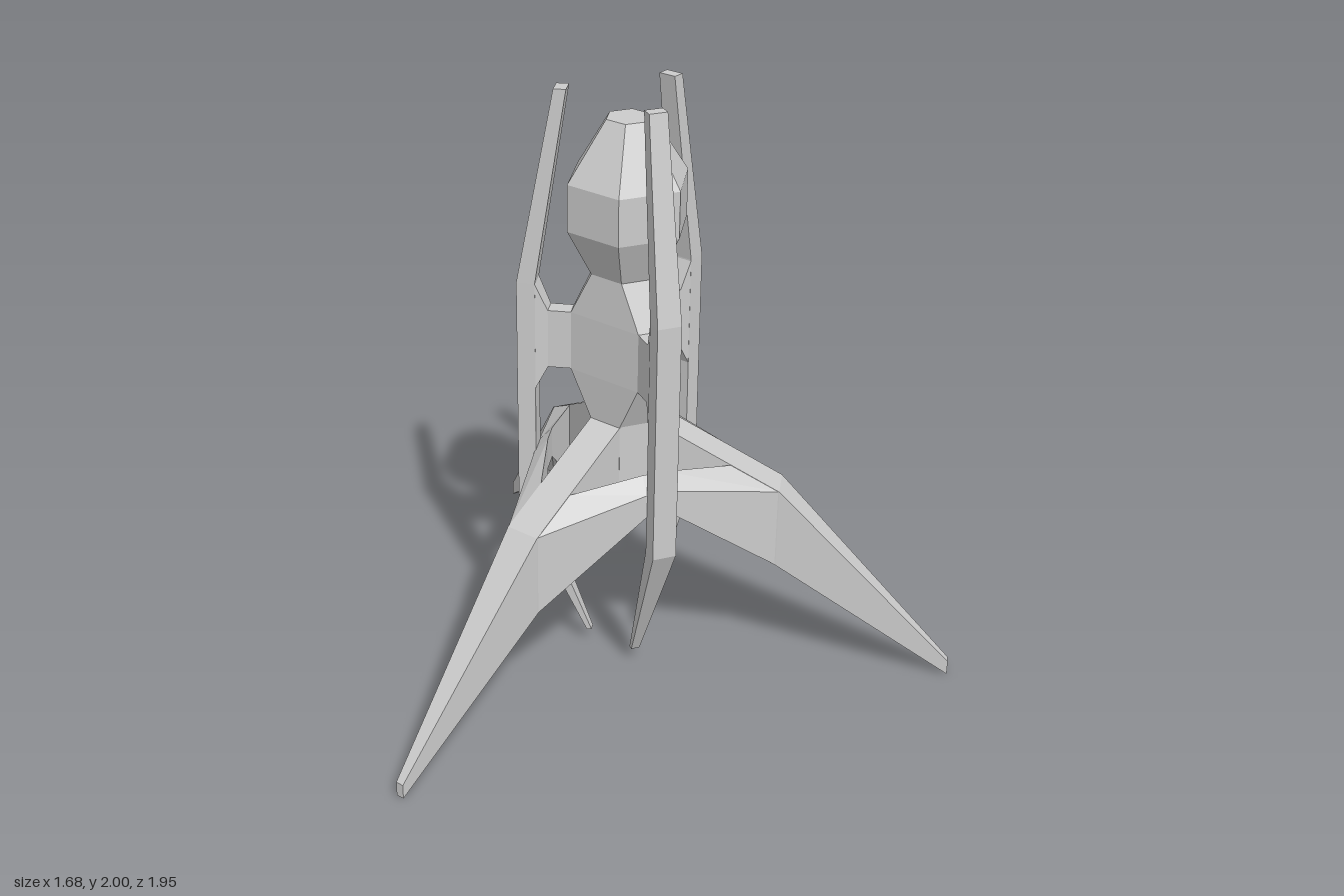
import * as THREE from 'three';

const grey = new THREE.MeshStandardMaterial({ color: 0xcccccc, flatShading: true });
const AXIS_X = 0.27;

// Closed solid from cross-sections (equal-length loops of [x, y, z]), wound outwards
function loft(name, rings) {
  const n = rings[0].length;
  const tris = [];
  for (let i = 0; i + 1 < rings.length; i++) {
    for (let j = 0; j < n; j++) {
      const k = (j + 1) % n;
      const a = rings[i][j], b = rings[i][k], c = rings[i + 1][k], d = rings[i + 1][j];
      tris.push([a, b, c], [a, c, d]);
    }
  }
  const first = rings[0], last = rings[rings.length - 1];
  for (let j = 1; j + 1 < n; j++) {
    tris.push([first[0], first[j + 1], first[j]], [last[0], last[j], last[j + 1]]);
  }
  // a negative volume means the faces point inwards
  const v = (p) => new THREE.Vector3(...p);
  const volume = tris.reduce((s, [a, b, c]) => s + v(a).dot(v(b).cross(v(c))), 0);
  if (volume < 0) tris.forEach((t) => t.reverse());
  const geo = new THREE.BufferGeometry();
  geo.setAttribute('position', new THREE.Float32BufferAttribute(tris.flat(2), 3));
  geo.computeVertexNormals();
  const mesh = new THREE.Mesh(geo, grey);
  mesh.name = name;
  return mesh;
}

// Upright section across a part that runs outwards
const upright = (r, top, bottom, w) => [[r, top, w], [r, top, -w], [r, bottom, -w], [r, bottom, w]];
// Level section across a part that runs upwards
const level = (y, r0, r1, w) => [[r0, y, w], [r1, y, w], [r1, y, -w], [r0, y, -w]];

// Six-sided ring: three faces at distance a with half-width w, joined by three others
function hexRing(y, a, w = a / Math.sqrt(3)) {
  const ring = [];
  for (let i = 0; i < 3; i++) {
    const t = (i * 2 * Math.PI) / 3, c = Math.cos(t), s = Math.sin(t);
    for (const k of [-w, w]) ring.push([a * c - k * s, y, a * s + k * c]);
  }
  return ring;
}

function makeLeg() {
  return loft('leg', [
    upright(0.1, 0.905, 0.62, 0.06),
    upright(0.52, 0.68, 0.4, 0.06),
    upright(1.115, 0.05, 0, 0.014),
  ]);
}

// Brace joining the sides of two neighbouring legs behind a fin
function makeBrace() {
  const c = Math.cos(Math.PI / 3), s = Math.sin(Math.PI / 3);
  const onLeg = (r, y, side) => [r * c + 0.058 * s, y, side * (r * s - 0.058 * c)];
  const legEnd = (side) => [
    onLeg(0.52, 0.68, side), onLeg(0.52, 0.4, side),
    onLeg(0.36, 0.485, side), onLeg(0.36, 0.765, side),
  ];
  const middle = (z) => [[0.295, 0.75, z], [0.295, 0.67, z], [0.25, 0.69, z], [0.25, 0.8, z]];
  return loft('brace', [legEnd(1), middle(0.04), middle(-0.04), legEnd(-1)]);
}

// Tall bent fin with its flared arm
function makeFin() {
  const fin = new THREE.Group();
  fin.name = 'fin';
  fin.add(loft('finBlade', [
    level(2, 0.19, 0.23, 0.03),
    level(1.355, 0.29, 0.35, 0.04),
    level(0.54, 0.29, 0.35, 0.04),
    level(0.05, 0.105, 0.122, 0.015),
  ]));
  fin.add(loft('finArm', [
    upright(0.16, 1.26, 1.06, 0.03),
    upright(0.25, 1.26, 1.06, 0.03),
    upright(0.292, 1.355, 0.98, 0.04),
  ]));
  return fin;
}

export function createModel() {
  const model = new THREE.Group();
  model.name = 'threeLeggedRocket';
  const hull = new THREE.Group();
  hull.name = 'hull';
  hull.position.x = AXIS_X;
  model.add(hull);

  // Faceted head, narrow neck, waisted body and hub
  hull.add(loft('head', [
    hexRing(1.915, 0.065),
    hexRing(1.72, 0.175),
    hexRing(1.565, 0.175),
    hexRing(1.41, 0.105),
  ]));
  hull.add(loft('body', [
    hexRing(1.41, 0.105),
    hexRing(1.26, 0.175, 0.03),
    hexRing(1.06, 0.175, 0.03),
    hexRing(0.905, 0.105),
    hexRing(0.62, 0.105),
  ]));

  // Fins and braces alternate with the legs around the hull
  for (let i = 0; i < 3; i++) {
    const turn = (i * 2 * Math.PI) / 3;
    const fin = makeFin(), brace = makeBrace(), leg = makeLeg();
    fin.rotation.y = turn;
    brace.rotation.y = turn;
    leg.rotation.y = turn + Math.PI / 3;
    hull.add(fin, brace, leg);
  }
  return model;
}
